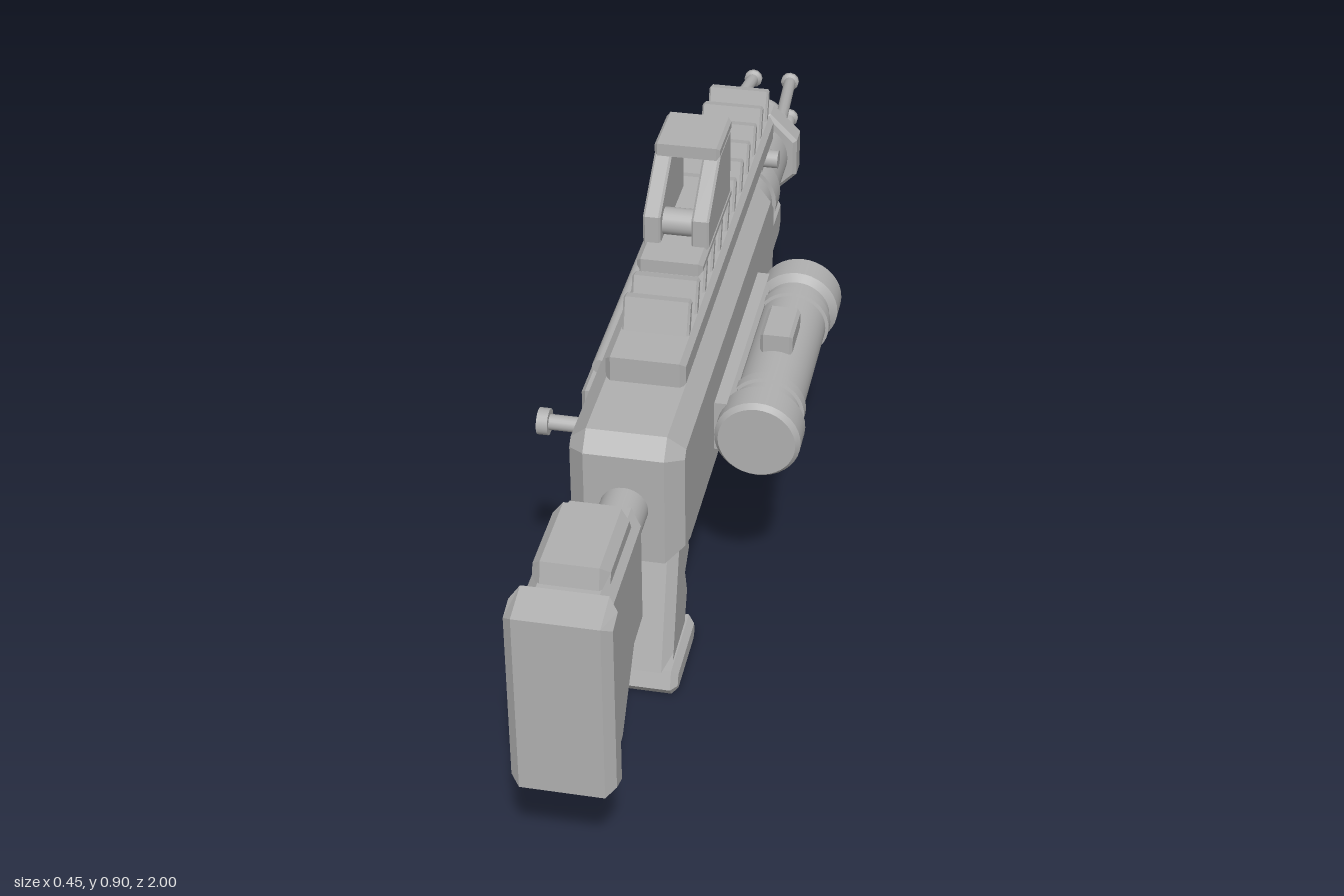
import * as THREE from 'three';

const grey = new THREE.MeshStandardMaterial({ color: 0xb0b0b0 });
grey.name = 'grey metal';

export function createModel() {
  const model = new THREE.Group();
  model.name = 'rifle';
  const gun = new THREE.Group(); // everything on the gun's own centre plane
  gun.name = 'rifleBody';
  gun.position.x = -0.037;
  model.add(gun);

  const add = (name, geometry, x = 0, y = 0, z = 0) => {
    const mesh = new THREE.Mesh(geometry, grey);
    mesh.name = name;
    mesh.position.set(x, y, z);
    gun.add(mesh);
    return mesh;
  };

  // Side profile of [z, y] points, extruded across x with chamfered edges
  const slab = (name, points, width, bevel = 0.01, x = 0, bevelX = bevel) => {
    const shape = new THREE.Shape(points.map(([z, y]) => new THREE.Vector2(-z, y)));
    const depth = width - 2 * bevelX;
    const g = new THREE.ExtrudeGeometry(shape, {
      depth, bevelEnabled: true, bevelSegments: 1,
      bevelSize: bevel, bevelThickness: bevelX, bevelOffset: -bevel,
    });
    g.translate(0, 0, -depth / 2);
    g.rotateY(Math.PI / 2);
    return add(name, g, x);
  };
  const block = (name, z0, z1, y0, y1, width, bevel = 0.006, x = 0) =>
    slab(name, [[z0, y0], [z1, y0], [z1, y1], [z0, y1]], width, bevel, x);

  // Cylinders along z and along x
  const rodZ = (name, r, z0, z1, y, x = 0, sides = 32) =>
    add(name, new THREE.CylinderGeometry(r, r, Math.abs(z1 - z0), sides).rotateX(Math.PI / 2), x, y, (z0 + z1) / 2);
  const rodX = (name, r, x0, x1, y, z) =>
    add(name, new THREE.CylinderGeometry(r, r, Math.abs(x1 - x0), 20).rotateZ(Math.PI / 2), (x0 + x1) / 2, y, z);

  // Receiver
  slab('receiver', [[0.524, 0.39], [0.455, 0.364], [-0.348, 0.364], [-0.428, 0.42],
    [-0.428, 0.583], [-0.374, 0.636], [0.495, 0.636], [0.524, 0.604]], 0.2, 0.03);
  slab('lowerReceiver', [[0.4, 0.368], [0.372, 0.315], [-0.285, 0.315], [-0.325, 0.368]], 0.13, 0.01);

  // Shoulder stock
  rodZ('stockRod', 0.042, 0.5, 0.72, 0.5);
  slab('stock', [[0.945, 0.63], [0.69, 0.63], [0.69, 0.405], [0.765, 0.4], [0.86, 0.285], [0.945, 0.275]], 0.142, 0.02);
  slab('cheekRest', [[0.91, 0.62], [0.9, 0.668], [0.745, 0.668], [0.725, 0.62]], 0.125, 0.015);
  slab('buttPad', [[1, 0.285], [0.935, 0.265], [0.935, 0.645], [1, 0.63]], 0.173, 0.016);

  // Top rail with slanted teeth
  block('railBase', 0.347, -0.567, 0.63, 0.684, 0.142, 0.01);
  for (let i = 0; i < 12; i++) {
    const z = 0.25 - i * 0.0725;
    slab('railTooth', [[z + 0.01, 0.68], [z - 0.012, 0.68], [z - 0.03, 0.738], [z - 0.01, 0.742]], 0.12, 0.004);
  }

  // Sight
  block('sightBase', 0.134, -0.16, 0.73, 0.755, 0.12, 0.008);
  for (const s of [-1, 1]) {
    slab('sightWall', [[0.075, 0.75], [0.075, 0.807], [-0.037, 0.882], [-0.14, 0.882], [-0.14, 0.75]], 0.032, 0.004, s * 0.044);
  }
  block('sightTop', -0.027, -0.15, 0.876, 0.9, 0.12, 0.006);
  rodX('sightRoller', 0.025, -0.035, 0.035, 0.78, 0.035);

  // Barrel, clamp and muzzle
  const axis = 0.513;
  rodZ('barrel', 0.078, -0.4, -0.73, axis);
  rodZ('barrelRing', 0.086, -0.515, -0.567, axis);
  block('barrelClamp', -0.515, -0.567, 0.57, 0.64, 0.11, 0.006);
  rodX('clampBolt', 0.018, -0.088, 0.088, 0.61, -0.525);
  const collar = new THREE.LatheGeometry([[0, 0], [0.096, 0], [0.104, 0.008], [0.104, 0.05], [0.088, 0.064], [0, 0.064]]
    .map(([r, h]) => new THREE.Vector2(r, h)), 8, Math.PI / 8).toNonIndexed();
  collar.computeVertexNormals();
  collar.rotateX(-Math.PI / 2);
  add('muzzleCollar', collar, 0, axis, -0.705);

  // Four converging prongs with pointed tips around a ball
  for (const sx of [-1, 1]) for (const sy of [-1, 1]) {
    const base = new THREE.Vector3(sx * 0.056, axis + sy * 0.067, -0.75);
    const tip = new THREE.Vector3(sx * 0.04, axis + sy * 0.044, -0.965);
    add('prong', new THREE.TubeGeometry(new THREE.LineCurve3(base, tip), 1, 0.0125, 12));
    const point = new THREE.LatheGeometry([[0, -0.016], [0.019, -0.006], [0.019, 0.003], [0, 0.035]]
      .map(([r, h]) => new THREE.Vector2(r, h)), 12);
    point.rotateX(-Math.PI / 2);
    add('prongTip', point, tip.x, tip.y, tip.z);
  }
  add('muzzleBall', new THREE.SphereGeometry(0.038, 24, 16), 0, axis, -0.877);

  // Foregrip
  slab('foregripMount', [[-0.33, 0.345], [-0.67, 0.345], [-0.692, 0.37], [-0.692, 0.43], [-0.4, 0.43]], 0.14, 0.014);
  slab('foregrip', [[-0.37, 0.36], [-0.487, 0.36], [-0.487, 0.305], [-0.468, 0.28], [-0.49, 0.25],
    [-0.47, 0.218], [-0.492, 0.18], [-0.482, 0.105], [-0.39, 0.105]], 0.1, 0.012);
  block('foregripFoot', -0.354, -0.5, 0.088, 0.113, 0.13, 0.007);

  // Pistol grip
  slab('pistolGrip', [[0.345, 0.33], [0.18, 0.33], [0.19, 0.31], [0.245, 0.25], [0.228, 0.212], [0.268, 0.18],
    [0.252, 0.13], [0.282, 0.055], [0.425, 0.055], [0.415, 0.09]], 0.115, 0.018);
  slab('gripFoot', [[0.43, 0.02], [0.415, 0], [0.26, 0], [0.243, 0.02], [0.25, 0.055], [0.418, 0.055]], 0.137, 0.012);

  // Trigger guard and trigger
  const bentBar = (name, points, r, widen) => {
    const curve = new THREE.CatmullRomCurve3(points.map(([z, y]) => new THREE.Vector3(0, y, z)));
    add(name, new THREE.TubeGeometry(curve, 28, r, 10)).scale.x = widen;
  };
  bentBar('triggerGuard', [[0.24, 0.255], [0.215, 0.215], [0.15, 0.19], [0.06, 0.186], [-0.01, 0.21], [-0.035, 0.26], [-0.035, 0.33]], 0.012, 2);
  bentBar('trigger', [[0.06, 0.33], [0.055, 0.295], [0.075, 0.265], [0.078, 0.238]], 0.011, 1.4);

  // Canister on the left side
  const half = [[0, 0.258], [0.07, 0.258], [0.078, 0.248], [0.078, 0.195], [0.064, 0.184], [0.064, 0.16],
    [0.07, 0.158], [0.07, 0.136], [0.064, 0.134]];
  const profile = [...half.map(([r, h]) => [r, -h]), ...half.slice().reverse()];
  // Separate lathe bands keep the edges crisp
  const canister = new THREE.Group();
  canister.name = 'canister';
  canister.position.set(0.183, 0.48, 0.008);
  for (let i = 0; i < profile.length - 1; i++) {
    const band = new THREE.LatheGeometry(profile.slice(i, i + 2).map(([r, h]) => new THREE.Vector2(r, h)), 36);
    band.rotateX(Math.PI / 2);
    const mesh = new THREE.Mesh(band, grey);
    mesh.name = 'canisterBand';
    canister.add(mesh);
  }
  gun.add(canister);
  block('canisterButton', 0.065, -0.035, 0.535, 0.577, 0.06, 0.006, 0.183);
  block('canisterMount', 0.23, -0.22, 0.43, 0.53, 0.045, 0.008, 0.108);

  // Side plate, slide rod and charging handle on the right side
  block('sidePlate', 0.29, -0.23, 0.425, 0.568, 0.04, 0.008, -0.109);
  rodZ('slideRod', 0.014, 0.25, -0.29, 0.595, -0.103, 12);
  rodX('chargingHandle', 0.014, -0.17, -0.09, 0.543, 0.36);
  rodX('chargingKnob', 0.024, -0.188, -0.168, 0.543, 0.36);

  return model;
}
